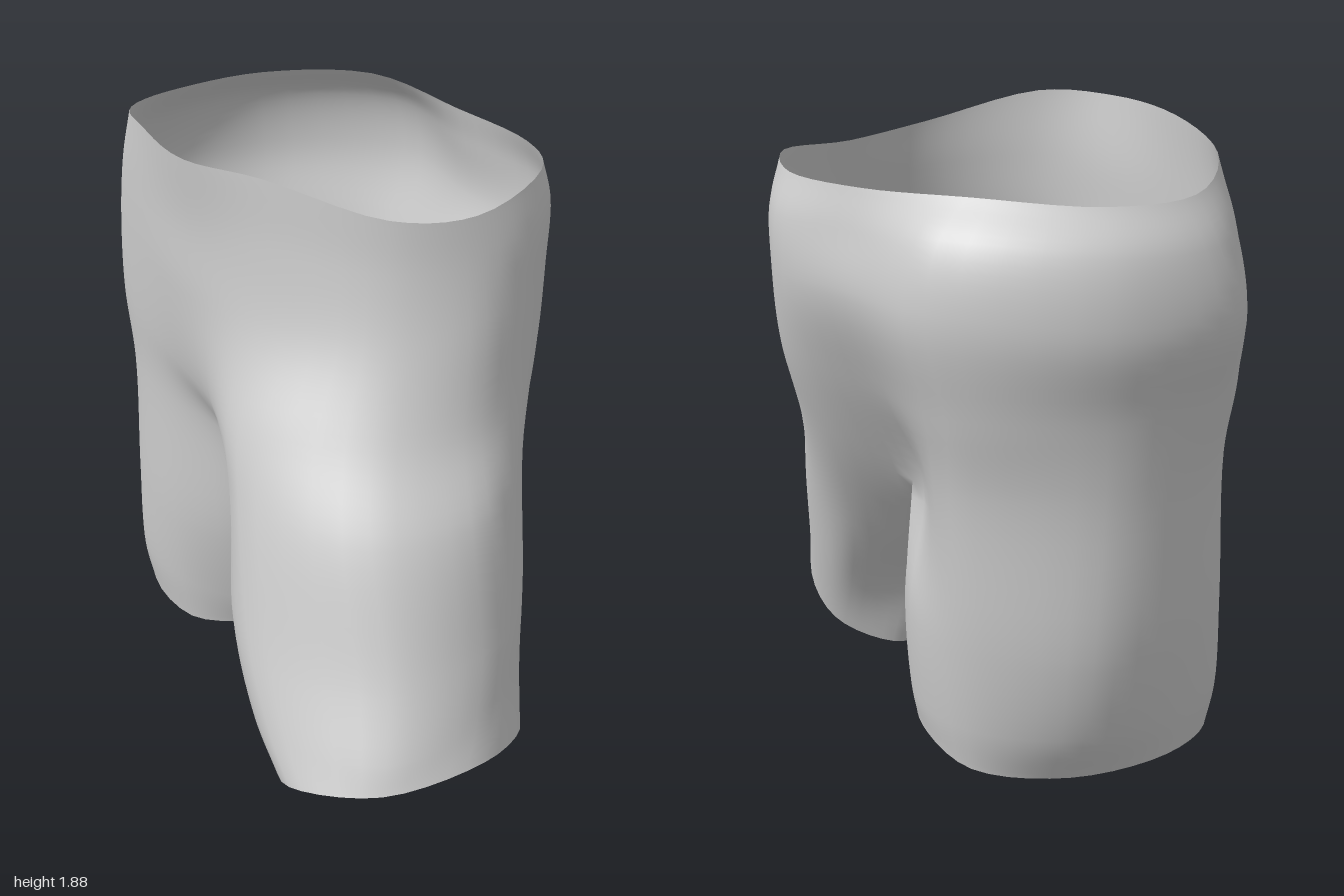
import * as THREE from 'three';
import { mergeGeometries, mergeVertices } from 'three/addons/utils/BufferGeometryUtils.js';

const SEG = 5;          // samples between neighbouring ring points
const ROWS = 7;         // rows between neighbouring rings
const ARC = 6 * SEG;    // samples on the outer half of a ring
const INNER = 4 * SEG;  // samples on the inseam side of a leg ring

// Torso rings go front middle, right side, back middle, left side
const waistRings = [
  [[-.1, 1.89, .47], [-.42, 1.87, .4], [-.7, 1.81, .26], [-.87, 1.75, -.03], [-.82, 1.75, -.33], [-.55, 1.77, -.57],
    [-.18, 1.75, -.62], [.15, 1.75, -.61], [.37, 1.77, -.46], [.46, 1.75, -.13], [.4, 1.79, .14], [.14, 1.89, .38]],
  [[-.12, 1.68, .45], [-.44, 1.67, .4], [-.76, 1.65, .26], [-.95, 1.62, -.02], [-.9, 1.63, -.38], [-.55, 1.65, -.68],
    [-.17, 1.63, -.65], [.17, 1.63, -.65], [.4, 1.64, -.46], [.5, 1.62, -.12], [.43, 1.64, .16], [.17, 1.68, .38]],
];
const hipRings = [
  [[-.13, 1.44, .45], [-.45, 1.44, .4], [-.8, 1.43, .26], [-1, 1.41, 0], [-.92, 1.42, -.41], [-.55, 1.45, -.72],
    [-.16, 1.44, -.67], [.18, 1.44, -.65], [.42, 1.44, -.43], [.56, 1.44, -.09], [.48, 1.44, .21], [.2, 1.44, .41]],
  [[-.13, 1.12, .42], [-.45, 1.18, .39], [-.8, 1.18, .26], [-.95, 1.18, -.03], [-.88, 1.18, -.37], [-.56, 1.18, -.66],
    [-.12, 1.15, -.55], [.2, 1.2, -.6], [.46, 1.2, -.38], [.65, 1.18, 0], [.56, 1.2, .32], [.2, 1.18, .52]],
  [[-.12, .93, .34], [-.42, .95, .37], [-.75, .95, .27], [-.91, .95, -.03], [-.86, .95, -.35], [-.52, .93, -.61],
    [-.07, .81, -.35], [.2, .93, -.5], [.51, .95, -.31], [.78, .97, .07], [.68, .97, .42], [.27, .95, .58]],
];
// Crotch seam between the legs, back to front
const crotch = [[-.06, .72, -.22], [-.05, .68, -.02], [-.08, .77, .2]];

// Leg rings going down: seven outer points, then three on the inseam
const rightRings = [
  [[-.14, .51, .25], [-.42, .5, .36], [-.75, .5, .28], [-.89, .5, -.02], [-.84, .48, -.36],
    [-.52, .5, -.57], [-.15, .5, -.45], [0, .5, -.27], [.03, .48, -.07], [-.04, .5, .1]],
  [[-.18, .18, .17], [-.44, .2, .33], [-.75, .2, .28], [-.85, .2, -.01], [-.78, .2, -.33],
    [-.5, .2, -.53], [-.2, .2, -.47], [-.07, .2, -.32], [-.05, .2, -.12], [-.09, .2, .04]],
  [[-.21, .06, .13], [-.44, .03, .3], [-.73, .05, .26], [-.82, .06, -.01], [-.7, .04, -.3],
    [-.49, .06, -.5], [-.24, .1, -.47], [-.1, .1, -.35], [-.06, .06, -.14], [-.1, .05, .02]],
];
const rightOpening = [[-.25, .06, -.03], [-.37, .06, 0], [-.5, .06, -.05], [-.6, .06, -.2], [-.6, .05, -.33],
  [-.44, .07, -.49], [-.25, .1, -.46], [-.14, .1, -.35], [-.12, .07, -.2], [-.17, .06, -.1]];

const leftRings = [
  [[.1, .55, -.18], [.3, .58, -.34], [.61, .62, -.23], [.88, .62, .11], [.83, .62, .48],
    [.42, .58, .66], [.1, .58, .48], [.02, .58, .3], [0, .56, .1], [.03, .55, -.05]],
  [[.3, .27, -.06], [.45, .3, -.22], [.7, .36, -.15], [.94, .45, .18], [.91, .42, .55],
    [.57, .38, .7], [.28, .31, .55], [.21, .28, .37], [.2, .26, .18], [.23, .26, .03]],
  [[.41, .02, -.03], [.6, .08, -.13], [.82, .2, -.06], [1, .34, .26], [.93, .34, .58],
    [.68, .28, .72], [.46, .17, .58], [.39, .1, .4], [.36, .05, .22], [.37, .02, .08]],
];
const leftOpening = [[.43, .02, -.03], [.6, .08, -.12], [.8, .19, -.06], [.87, .27, .1], [.83, .29, .3],
  [.7, .25, .41], [.56, .17, .4], [.46, .11, .33], [.41, .06, .2], [.4, .02, .08]];

const toVec = (p) => new THREE.Vector3(...p);

// Evenly stepped points along a smooth curve through the given vectors
function samplePath(vectors, perSpan, closed = false) {
  const curve = new THREE.CatmullRomCurve3(vectors, closed);
  const spans = closed ? vectors.length : vectors.length - 1;
  const count = spans * perSpan + (closed ? 0 : 1);
  return Array.from({ length: count }, (_, i) => curve.getPoint(i / (spans * perSpan)));
}
const sampleRing = (points) => samplePath(points.map(toVec), SEG, true);

// Surface through columns of points; columns run side by side, each going down
function skin(columns, closed) {
  const rows = columns[0].length;
  const positions = columns.flatMap((c) => c.flatMap((v) => [v.x, v.y, v.z]));
  const index = [];
  const last = closed ? columns.length : columns.length - 1;
  for (let j = 0; j < last; j++) {
    for (let i = 0; i < rows - 1; i++) {
      const a = j * rows + i;
      const b = ((j + 1) % columns.length) * rows + i;
      index.push(a, b, a + 1, b, b + 1, a + 1);
    }
  }
  const g = new THREE.BufferGeometry();
  g.setAttribute('position', new THREE.Float32BufferAttribute(positions, 3));
  g.setIndex(index);
  return g;
}

// One side of the torso running on into its leg
function buildHalf(torso, start, seam, legs) {
  const split = (torso.length - 1) * ROWS;
  const torsoColumns = [];
  const legColumns = [];
  for (let j = 0; j <= ARC; j++) {
    const upper = torso.map((ring) => ring[(start + j) % ring.length]);
    const lower = legs.map((ring) => ring[j]);
    if (j === 0 || j === ARC) {
      // Middle lines are shared by both halves
      torsoColumns.push(samplePath(upper, ROWS));
      legColumns.push(samplePath([upper[upper.length - 1], ...lower], ROWS));
    } else {
      const column = samplePath([...upper, ...lower], ROWS);
      torsoColumns.push(column.slice(0, split + 1));
      legColumns.push(column.slice(split));
    }
  }
  for (let k = 1; k < INNER; k++) {
    legColumns.push(samplePath([seam[k], ...legs.map((ring) => ring[ARC + k])], ROWS));
  }
  return [skin(torsoColumns, false), skin(legColumns, true)];
}

// Underside of a leg, turned inwards to a smaller opening
function buildHem(edge, opening) {
  const inner = sampleRing(opening);
  return skin(edge.map((v, j) => [0, 1, 2, 3].map((k) => v.clone().lerp(inner[j], k / 3))), true);
}

export function createModel() {
  const group = new THREE.Group();
  const material = new THREE.MeshStandardMaterial({ color: 0xcccccc, side: THREE.DoubleSide });
  const addPart = (name, geometry) => {
    geometry.computeVertexNormals();
    const mesh = new THREE.Mesh(geometry, material);
    mesh.name = name;
    group.add(mesh);
  };

  const torso = [...waistRings, ...hipRings].map(sampleRing);
  const right = rightRings.map(sampleRing);
  const left = leftRings.map(sampleRing);
  const base = hipRings[hipRings.length - 1];
  const seam = samplePath([base[6], ...crotch, base[0]].map(toVec), SEG);

  // Torso and both legs as one welded cloth
  addPart('shortsBody', mergeVertices(mergeGeometries([
    ...buildHalf(torso, 0, seam, right),
    ...buildHalf(torso, ARC, [...seam].reverse(), left),
  ]), 1e-4));

  // Turned-in hems
  addPart('rightHem', buildHem(right[right.length - 1], rightOpening));
  addPart('leftHem', buildHem(left[left.length - 1], leftOpening));
  return group;
}
